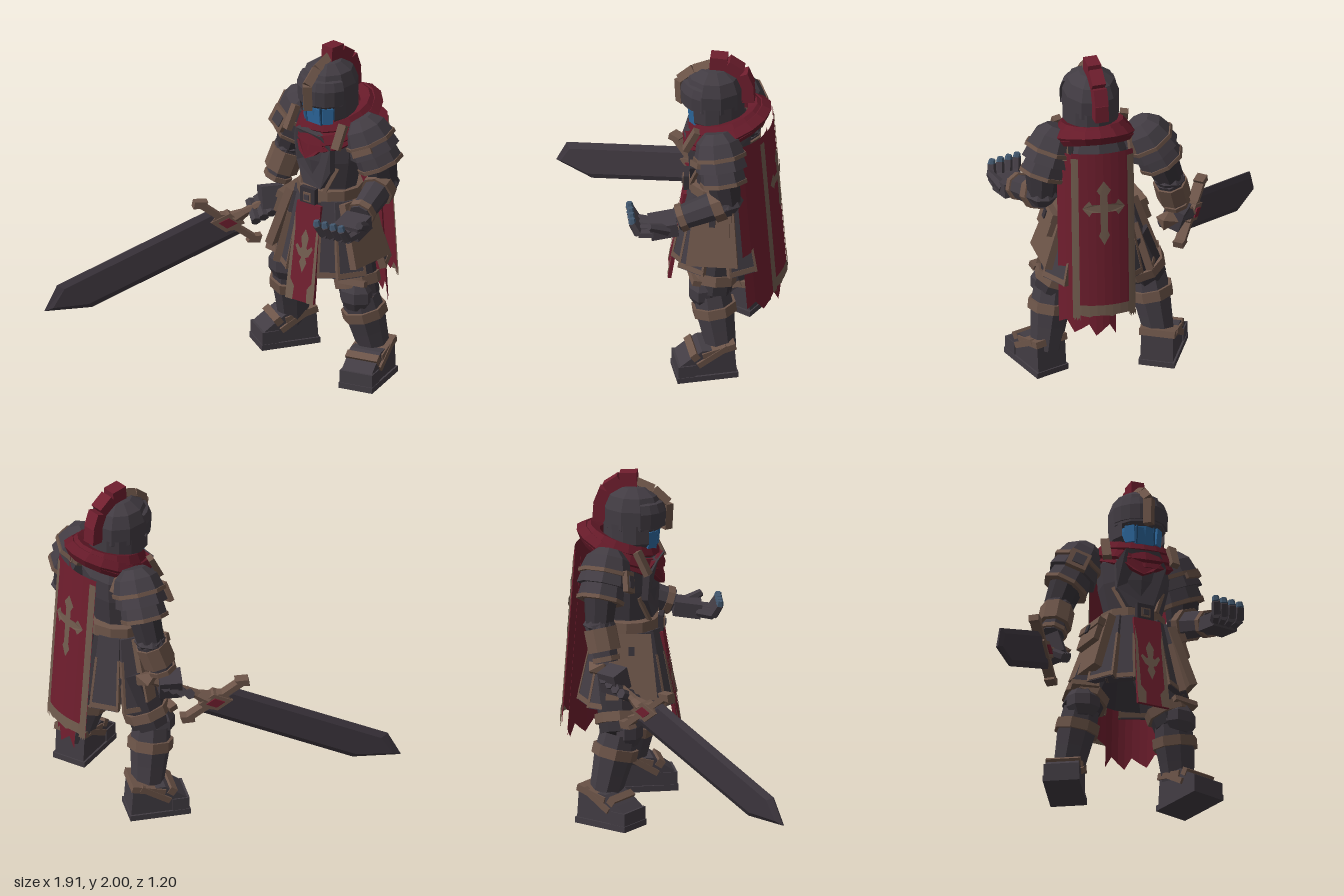
import * as THREE from 'three';

const paint = (name, color) => Object.assign(new THREE.MeshStandardMaterial({ color, side: THREE.DoubleSide }), { name });
const armour = paint('gunmetal armour', 0x423c43), under = paint('dark underlayer', 0x363137);
const leather = paint('brown trim', 0x6c5448), cloth = paint('crimson cloth', 0x6f1e2e);
const scarfRed = paint('deep red scarf', 0x651a29), emblem = paint('taupe emblem', 0x715c4e);
const blue = paint('blue face', 0x2d699f), darkBlue = paint('dark blue slits', 0x204c75);
const steel = paint('blade steel', 0x3d363e), slate = paint('slate blue fingertips', 0x42586f);

const V = (p) => new THREE.Vector3(...p);
const Y = new THREE.Vector3(0, 1, 0);

function add(parent, name, geo, mat) {
  const g = geo.index ? geo.toNonIndexed() : geo;
  g.computeVertexNormals(); // faceted look
  const m = new THREE.Mesh(g, mat);
  m.name = name;
  parent.add(m);
  return m;
}
function box(parent, name, mat, size, pos, rot = [0, 0, 0]) {
  const m = add(parent, name, new THREE.BoxGeometry(...size), mat);
  m.position.set(...pos);
  m.rotation.set(...rot, 'YXZ');
  return m;
}
function group(parent, name, pos = [0, 0, 0], yaw = 0) {
  const g = new THREE.Group();
  g.name = name;
  g.position.set(...pos);
  g.rotation.y = yaw;
  parent.add(g);
  return g;
}
// turned profile [radius, height], flattened front to back
function lathe(parent, name, mat, pts, depth = 1, sides = 12, start = 0, sweep = Math.PI * 2) {
  const g = new THREE.LatheGeometry(pts.map((p) => new THREE.Vector2(...p)), sides, start, sweep);
  return add(parent, name, g.scale(1, 1, depth), mat);
}
// turned profile [position along a-b, radius] laid between two points
function limb(parent, name, mat, a, b, profile, sides = 8) {
  const d = V(b).sub(V(a)), len = d.length();
  const g = new THREE.LatheGeometry(profile.map(([t, r]) => new THREE.Vector2(r, t * len)), sides);
  g.applyQuaternion(new THREE.Quaternion().setFromUnitVectors(Y, d.normalize())).translate(...a);
  return add(parent, name, g, mat);
}
const rod = (parent, name, mat, a, b, r0, r1 = r0, sides = 6) => limb(parent, name, mat, a, b, [[0, 0], [0, r0], [1, r1], [1, 0]], sides);
const band = (parent, name, mat, a, b, t0, t1, r) => limb(parent, name, mat, a, b, [[t0, r - 0.04], [t0, r], [t1, r], [t1, r - 0.04]]);
const outline = (pts) => new THREE.Shape(pts.map((p) => new THREE.Vector2(...p)));
// closed outline from its right half, mirrored
const sym = (half) => outline([...half, ...half.filter(([x]) => x > 0).reverse().map(([x, y]) => [-x, y])]);
const slab = (shape, depth) => new THREE.ExtrudeGeometry(shape, { depth, bevelEnabled: false }).translate(0, 0, -depth / 2);
// moves a flat piece onto the surface z = f(x, y)
function bend(geo, f) {
  const p = geo.attributes.position;
  for (let i = 0; i < p.count; i++) p.setZ(i, p.getZ(i) + f(p.getX(i), p.getY(i)));
  return geo;
}
function sheet(w, y0, y1, f, ragged, x = 0) {
  const g = new THREE.PlaneGeometry(w, y1 - y0, 8, 8).translate(x, (y0 + y1) / 2, 0);
  const p = g.attributes.position;
  for (let i = 72; i < 81; i++) p.setY(i, y0 + ((i * 5) % 3) * ragged);
  return bend(g, f);
}

function buildHead(root) {
  const h = group(root, 'head', [0.492, 0, -0.165], -0.19);
  lathe(h, 'helmetDome', armour, [[0.14, 1.66], [0.163, 1.68], [0.163, 1.79], [0.135, 1.865], [0.07, 1.91], [0, 1.92]], 1.1, 10);
  lathe(h, 'cheekGuard', armour, [[0.13, 1.57], [0.16, 1.6], [0.162, 1.71]], 1.1, 10, 0.95, 4.38);
  lathe(h, 'visorBrow', armour, [[0.14, 1.7], [0.174, 1.69], [0.178, 1.78], [0.16, 1.83], [0.13, 1.84]], 1.1, 8, -1.25, 2.5);
  lathe(h, 'face', blue, [[0.09, 1.53], [0.118, 1.57], [0.13, 1.64], [0.135, 1.73]], 1.12, 6, -1.2, 2.4);
  box(h, 'chinPlate', blue, [0.1, 0.1, 0.04], [0, 1.605, 0.118], [0.12, 0, 0]);
  for (const s of [-1, 1]) {
    box(h, 'jawPlate', blue, [0.06, 0.1, 0.03], [s * 0.082, 1.615, 0.108], [0.1, s * 0.75, 0]);
    box(h, 'faceSlit', darkBlue, [0.009, 0.11, 0.04], [s * 0.053, 1.61, 0.121], [0.1, 0, 0]);
  }
  box(h, 'eyeSlit', darkBlue, [0.2, 0.02, 0.02], [0, 1.68, 0.118]);
  // raised centre ridge
  const ridge = [[0, 1.66, 0.185], [0, 1.81, 0.192], [0, 1.885, 0.11], [0, 1.93, 0]];
  for (let i = 0; i < 3; i++) rod(h, 'helmetRidge', leather, ridge[i], ridge[i + 1], 0.036, 0.036, 4);
  lathe(h, 'neck', under, [[0.1, 1.46], [0.12, 1.6]], 1, 8);
  // plume blocks over the crown and down the back
  [[1.945, -0.03, 0.1, 0.05], [1.905, -0.11, 0.1, 0.6], [1.83, -0.165, 0.11, 1.2], [1.745, -0.185, 0.1, 1.5]]
    .forEach(([y, z, s, r]) => box(h, 'plume', cloth, [0.08, s, 0.1], [0, y, z], [-r, 0, 0]));
}

function buildTorso(root) {
  const t = group(root, 'torso', [0.49, 0, -0.2], -0.28);
  lathe(t, 'cuirass', armour, [[0, 1.04], [0.16, 1.05], [0.165, 1.15], [0.205, 1.32], [0.215, 1.45], [0.17, 1.54], [0.08, 1.6]], 0.85, 10);
  const chest = slab(sym([[0.07, 1.15], [0.14, 1.27], [0.15, 1.42], [0.1, 1.5]]), 0.05);
  add(t, 'breastplate', bend(chest, (x, y) => 0.145 + (y - 1.15) * 0.13 - x * x * 2), armour);
  for (const s of [-1, 1]) {
    box(t, 'sideStrap', leather, [0.022, 0.17, 0.02], [s * 0.12, 1.21, 0.122], [-0.15, s * 0.5, -s * 0.45]);
    for (const f of [-1, 1]) box(t, 'shoulderStrap', leather, [0.05, 0.15, 0.035], [s * 0.2, 1.51, f * 0.13], [-f * 0.45, s * f * 0.3, -s * 0.1]);
  }
  // wrapped scarf, low at the front and high at the back
  [[0.195, 0.05, 1.545, 0.4, 1.15], [0.165, 0.05, 1.585, 0.3, 1.1], [0.205, 0.035, 1.515, 0.46, 1.15]].forEach(([r, tube, y, tilt, sz]) => {
    const g = new THREE.TorusGeometry(r, tube, 5, 16).rotateX(Math.PI / 2).scale(1, 0.9, sz).rotateX(tilt).translate(0.015, y, -0.045);
    add(t, 'scarf', g, scarfRed);
  });
  const drape = slab(sym([[0, 1.34], [0.06, 1.37], [0.14, 1.46], [0.1, 1.5]]), 0.03);
  add(t, 'scarfDrape', bend(drape, (x) => 0.2 - x * x * 3), scarfRed);
}

function buildCape(root) {
  const c = group(root, 'cape', [0.49, 0, -0.2], -0.3);
  const f = (x, y) => -0.3 - (1.6 - y) * 0.075 + x * x * 1.1;
  const lift = (d) => (x, y) => f(x, y) - d;
  add(c, 'underCape', sheet(0.31, 0.36, 1.5, (x, y) => f(x, y) + 0.035 + x * x * 1.4, 0.035, 0.085), cloth);
  add(c, 'backPanel', sheet(0.36, 0.5, 1.55, f, 0.03), cloth);
  for (const s of [-1, 1]) add(c, 'capeBorder', sheet(0.04, 0.48, 1.52, lift(0.006), 0.01, s * 0.163), emblem);
  add(c, 'capeHem', sheet(0.36, 0.505, 0.58, lift(0.008), 0.02), emblem);
  const cross = sym([[0, 0.97], [0.032, 1.03], [0.02, 1.06], [0.022, 1.18], [0.07, 1.18], [0.085, 1.155], [0.125, 1.205],
    [0.085, 1.255], [0.07, 1.23], [0.022, 1.23], [0.022, 1.29], [0.042, 1.32], [0, 1.38]]);
  add(c, 'capeCross', bend(new THREE.ShapeGeometry(cross), lift(0.012)), emblem);
}

function buildSkirt(root) {
  const k = group(root, 'skirt', [0.48, 0, -0.2], -0.12);
  lathe(k, 'underSkirt', under, [[0.29, 0.66], [0.18, 1.08], [0.15, 1.12]], 0.75, 12);
  lathe(k, 'belt', leather, [[0.16, 1.065], [0.2, 1.07], [0.195, 1.14], [0.15, 1.145]], 0.93, 12);
  box(k, 'buckle', under, [0.105, 0.11, 0.03], [-0.01, 1.1, 0.19]);
  box(k, 'buckleFrame', leather, [0.055, 0.055, 0.009], [-0.01, 1.1, 0.208]);
  box(k, 'bucklePin', armour, [0.034, 0.032, 0.009], [-0.01, 1.1, 0.214]);
  // hanging plates around the hips: angle from the front, outward tilt
  for (const s of [-1, 1]) for (const [a, tilt] of [[0.62, 0.21], [1.0, 0.26], [1.4, 0.32], [2.05, 0.3], [2.7, 0.22]]) {
    const side = a === 1.4, h = side ? 0.38 : 0.45, w = side ? 0.15 : 0.085;
    const p = group(k, 'hipPanel', [s * Math.sin(a) * 0.2, 1.08, Math.cos(a) * 0.165]);
    p.rotation.set(-tilt, s * (side ? 1.5 : a), 0, 'YXZ');
    add(p, 'hipPlate', slab(sym([[w, -h], [w * 0.75, 0]]), side ? 0.05 : 0.035), side ? leather : armour);
    if (side) {
      box(p, 'pouch', leather, [0.2, 0.13, 0.05], [0, -0.13, 0.035]);
      box(p, 'pouchFlap', leather, [0.22, 0.05, 0.06], [0, -0.075, 0.04]);
      box(p, 'pouchClasp', under, [0.035, 0.05, 0.009], [0, -0.1, 0.074]);
    } else {
      box(p, 'plateHem', leather, [0.165, 0.03, 0.044], [0, -h + 0.02, 0]);
      for (const e of [-1, 1]) box(p, 'plateEdge', leather, [0.014, h * 0.7, 0.042], [e * 0.074, -h * 0.65, 0], [0, 0, e * 0.045]);
    }
  }
  const f = (x, y) => 0.195 + (1.06 - y) * 0.155;
  const lift = (x, y) => f(x, y) + 0.014;
  add(k, 'tabard', bend(slab(sym([[0.1, 0.48], [0.085, 1.06]]), 0.02), f), cloth);
  for (const s of [-1, 1]) {
    const edge = [[0.1, 0.48], [0.1, 0.57], [0.086, 1.0], [0.074, 0.9], [0.075, 0.6], [0.045, 0.56], [0.05, 0.48]];
    add(k, 'tabardBorder', bend(new THREE.ShapeGeometry(outline(edge.map(([x, y]) => [s * x, y]))), lift), emblem);
  }
  const fleur = sym([[0, 0.65], [0.026, 0.71], [0.014, 0.74], [0.035, 0.75], [0.062, 0.8], [0.05, 0.815], [0.025, 0.79], [0.016, 0.8], [0.026, 0.86], [0, 0.91]]);
  add(k, 'tabardEmblem', bend(new THREE.ShapeGeometry(fleur), lift), emblem);
}

function buildArm(root, name, top, cap, elbow, wrist, cuff) {
  const g = group(root, name);
  limb(g, 'pauldron', armour, top, cap, [[0, 0], [0, 0.07], [0.18, 0.125], [0.5, 0.153], [0.5, 0.138], [0.75, 0.153], [0.75, 0.125], [1.05, 0.135], [1.05, 0.08]]);
  band(g, 'pauldronTrim', leather, top, cap, 0.45, 0.53, 0.158);
  band(g, 'pauldronRim', leather, top, cap, 0.99, 1.07, 0.14);
  rod(g, 'upperArm', under, cap, elbow, 0.1, 0.085, 8);
  limb(g, 'elbowGuard', armour, [elbow[0], elbow[1] - 0.07, elbow[2]], [elbow[0], elbow[1] + 0.07, elbow[2]], [[0, 0], [0.1, 0.06], [0.5, 0.095], [0.9, 0.06], [1, 0]]);
  rod(g, 'forearm', armour, elbow, wrist, 0.09, 0.07, 8);
  band(g, 'elbowCuff', leather, elbow, wrist, 0.1, cuff, 0.1);
  band(g, 'wristCuff', leather, elbow, wrist, 0.84, 0.97, 0.084);
  return g;
}

function buildLeg(root, name, hip, knee, ankle, foot, yaw, kneeYaw) {
  const g = group(root, name);
  rod(g, 'thigh', under, hip, knee, 0.13, 0.115, 8);
  limb(g, 'shin', armour, knee, ankle, [[0, 0.11], [0.3, 0.118], [0.6, 0.105], [1, 0.09], [1, 0]]);
  band(g, 'kneeBandTop', leather, knee, hip, 0.16, 0.32, 0.137);
  band(g, 'kneeBandLow', leather, knee, ankle, 0.2, 0.36, 0.133);
  // faceted knee cap with a brown upper rim
  const k = group(g, 'knee', [knee[0], knee[1] + 0.02, knee[2]], kneeYaw);
  add(k, 'kneePlate', new THREE.SphereGeometry(0.1, 7, 5).scale(1.05, 1.05, 0.8).translate(0, 0, 0.06), armour);
  box(k, 'kneeRim', leather, [0.16, 0.035, 0.05], [0, 0.095, 0.1], [-0.3, 0, 0]);
  // boot in side profile
  const b = group(g, 'boot', foot, yaw);
  const side = outline([[-0.165, 0], [0.175, 0], [0.18, 0.1], [0.12, 0.145], [0.04, 0.2], [-0.15, 0.2]]);
  add(b, 'bootUpper', slab(side, 0.19).rotateY(-Math.PI / 2), armour);
  box(b, 'sole', armour, [0.212, 0.035, 0.355], [0, 0.0175, 0.008]);
  box(b, 'toeCap', armour, [0.205, 0.1, 0.1], [0, 0.06, 0.13]);
  box(b, 'ankleStrap', leather, [0.21, 0.04, 0.2], [0, 0.19, -0.06], [0.25, 0, 0]);
  for (const s of [-1, 1]) box(b, 'crossStrap', leather, [0.025, 0.035, 0.2], [s * 0.097, 0.16, -0.02], [0.55, 0, 0]);
  box(b, 'instepStrap', leather, [0.2, 0.045, 0.045], [0, 0.165, 0.08], [0.6, 0, 0]);
}

function buildSword(root) {
  const along = V([-0.67, -0.395, 0.628]), wide = V([-0.61, 0.6, 0.53]);
  const frame = new THREE.Matrix4().makeBasis(wide, along, wide.clone().cross(along).normalize()).setPosition(-0.17, 0.76, -0.13);
  const s = group(root, 'sword');
  const put = (name, geo, mat) => add(s, name, geo.applyMatrix4(frame), mat);
  const blade = new THREE.ExtrudeGeometry(sym([[0.088, 0.03], [0.088, 0.965], [0, 1.115]]), { depth: 0.008, bevelSize: 0.037, bevelThickness: 0.016, bevelSegments: 1 });
  put('blade', blade.translate(0, 0, -0.004), steel);
  put('guard', slab(sym([[0.05, -0.05], [0.07, -0.02], [0.18, -0.022], [0.195, -0.05], [0.235, 0], [0.195, 0.045], [0.18, 0.018], [0.07, 0.018], [0.05, 0.06]]), 0.06), leather);
  put('guardBoss', new THREE.BoxGeometry(0.11, 0.12, 0.075), leather);
  put('guardGem', new THREE.BoxGeometry(0.06, 0.065, 0.09), cloth);
  put('collar', new THREE.CylinderGeometry(0.05, 0.03, 0.07, 6).translate(0, -0.08, 0), leather);
  put('grip', new THREE.CylinderGeometry(0.028, 0.028, 0.36, 6).translate(0, -0.24, 0), leather);
  put('pommel', new THREE.OctahedronGeometry(0.07).translate(0, -0.43, 0), leather);
}

export function createModel() {
  const root = new THREE.Group();
  root.name = 'armouredKnight';
  [buildHead, buildTorso, buildCape, buildSkirt, buildSword].forEach((build) => build(root));
  buildLeg(root, 'rightLeg', [0.32, 0.85, -0.28], [0.18, 0.52, -0.27], [0.145, 0.14, -0.36], [0.11, 0, -0.33], -0.7, -0.35);
  buildLeg(root, 'leftLeg', [0.61, 0.85, -0.18], [0.72, 0.5, -0.13], [0.79, 0.14, -0.18], [0.8, 0, -0.09], 0.1, 0.1);

  // left arm reaching forward with an open palm
  const l = buildArm(root, 'leftArm', [0.7, 1.595, -0.16], [0.815, 1.33, -0.19], [0.83, 1.2, -0.21], [0.84, 1.1, 0.08], 0.3);
  box(l, 'palm', armour, [0.16, 0.085, 0.16], [0.84, 1.065, 0.16], [0.15, 0, 0]);
  for (const o of [-0.06, -0.02, 0.02, 0.06]) {
    const mid = [0.81 + o * 1.3, 1.045, 0.305], tip = [0.79 + o * 1.35, 1.11, 0.34], end = [0.785 + o * 1.35, 1.14, 0.342];
    rod(l, 'fingerBase', armour, [0.84 + o, 1.05, 0.22], mid, 0.03, 0.027);
    rod(l, 'fingerMiddle', armour, mid, tip, 0.028, 0.024);
    rod(l, 'fingerTip', slate, tip, end, 0.024, 0.018);
  }
  rod(l, 'thumb', armour, [0.9, 1.07, 0.14], [0.935, 1.12, 0.25], 0.036, 0.022);

  // right arm lowered, gripping the sword
  const r = buildArm(root, 'rightArm', [0.27, 1.595, -0.32], [0.15, 1.34, -0.38], [0.1, 1.2, -0.39], [0.035, 0.99, -0.35], 0.7);
  box(r, 'fist', armour, [0.12, 0.13, 0.13], [0.02, 0.89, -0.31], [0, -0.8, 0.3]);
  for (let i = 0; i < 4; i++) {
    const c = [0.05 - i * 0.034, 0.875 - i * 0.02, -0.325 + i * 0.032];
    rod(r, 'gripFinger', armour, [c[0] - 0.05, c[1] + 0.03, c[2] - 0.05], [c[0] + 0.05, c[1] - 0.04, c[2] + 0.05], 0.03);
  }
  // badges on the shoulders
  box(r, 'shoulderBadge', leather, [0.12, 0.12, 0.03], [0.13, 1.44, -0.22], [-0.2, -0.35, -0.4]);
  box(r, 'badgeInset', armour, [0.07, 0.07, 0.009], [0.128, 1.442, -0.203], [-0.2, -0.35, -0.4]);
  box(l, 'shoulderBadge', leather, [0.12, 0.035, 0.02], [0.79, 1.44, -0.03], [-0.2, 0.2, 0.4]);
  return root;
}
